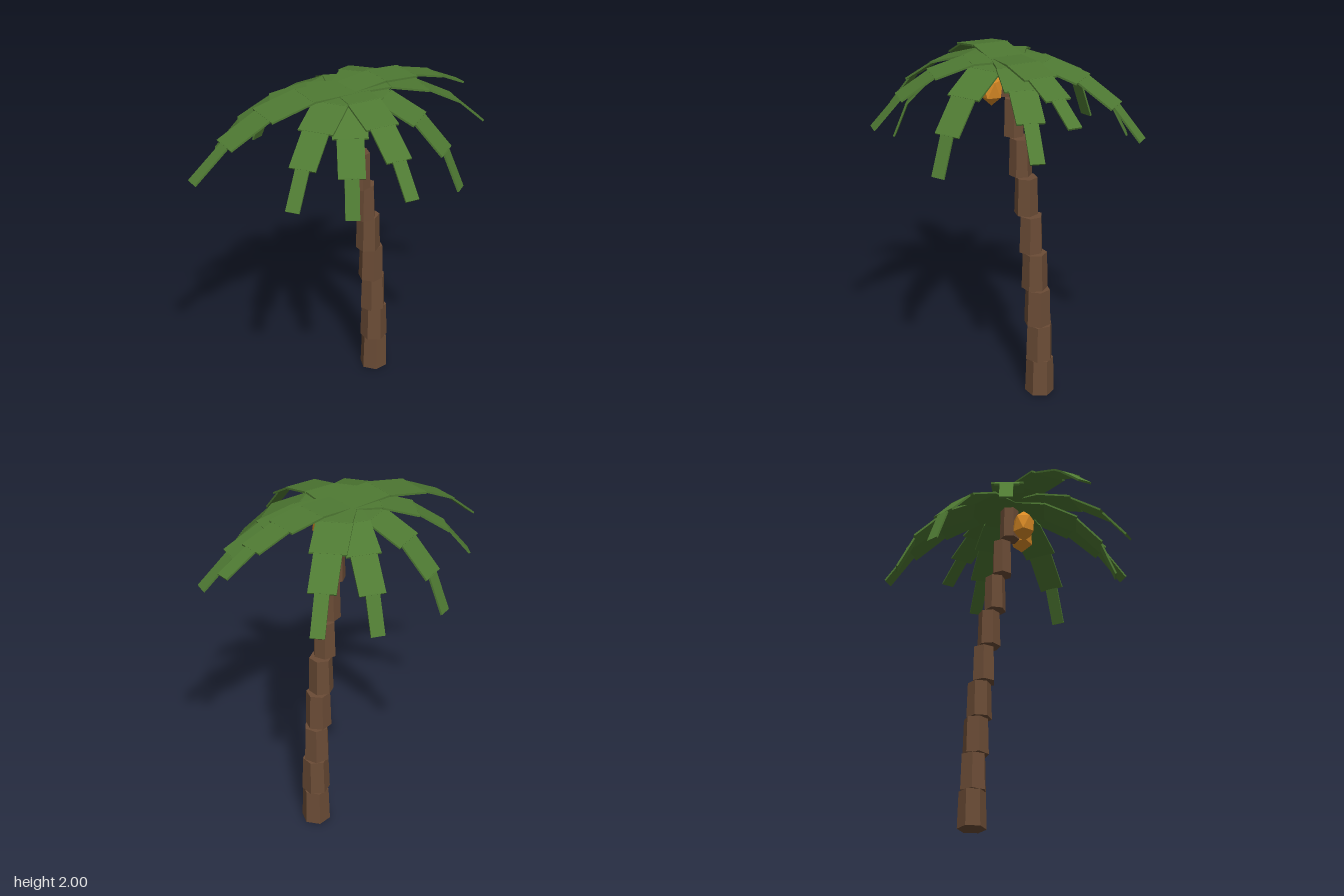
import * as THREE from 'three';

const mat = (color) => new THREE.MeshStandardMaterial({ color, flatShading: true });

export function createModel() {
  const model = new THREE.Group();
  const bark = mat(0x6b4c36), leaf = mat(0x4f7a33), fruitSkin = mat(0xd98a25);

  // Trunk: stacked, slightly tapered hexagonal segments that curve towards the crown
  const trunk = new THREE.Group();
  trunk.name = 'trunk';
  const count = 9, step = 0.22;
  for (let i = 0; i < count; i++) {
    const t = i / (count - 1);
    const r = 0.085 - 0.0032 * i;
    const h = i === count - 1 ? 0.2 : step;
    const seg = new THREE.Mesh(new THREE.CylinderGeometry(r * 0.92, r, h, 6), bark);
    seg.name = 'trunkSegment';
    seg.position.set(0.255 - 0.22 * t ** 1.95, i * step + h / 2, -0.19 + 0.192 * t ** 1.8);
    seg.rotation.y = i * 0.37;
    trunk.add(seg);
  }
  model.add(trunk);

  // Fronds: four thin plates each; steeper fronds bend more from plate to plate
  const crown = new THREE.Vector3(0.035, 1.973, 0);
  const widths = [0.195, 0.205, 0.155, 0.078];
  const thick = 0.011;
  const tips = [
    [0.04, 1.53, -0.67], [0.38, 1.61, -0.72], [0.77, 1.82, -0.33], [0.85, 1.66, -0.14],
    [0.6, 1.49, 0.37], [0.24, 1.64, 0.73], [-0.05, 1.5, 0.63], [-0.37, 1.59, 0.65],
    [-0.85, 1.64, 0.325], [-0.68, 1.62, -0.09], [-0.4, 1.49, -0.48],
  ];
  for (const [x, y, z] of tips) {
    const dx = x - crown.x, dz = z - crown.z;
    const reach = Math.hypot(dx, dz), drop = crown.y - y;
    const mean = Math.atan2(drop, reach);
    const bend = 0.1 + 0.42 * mean;
    const len = Math.hypot(reach, drop) / (2 * (Math.cos(bend / 2) + Math.cos(bend * 1.5)));
    const frond = new THREE.Group();
    frond.name = 'frond';
    frond.position.copy(crown);
    frond.rotation.y = Math.atan2(dx, dz);
    let py = 0, pz = 0;
    widths.forEach((w, i) => {
      const pitch = mean + bend * (i - 1.5);
      const c = Math.cos(pitch) * len, s = Math.sin(pitch) * len;
      const width = i === 3 ? w : w * (0.4 + 0.6 * len / 0.24);
      const plate = new THREE.Mesh(new THREE.BoxGeometry(width, thick, len * 1.03), leaf);
      plate.name = 'frondPlate';
      plate.position.set(0, py - s / 2, pz + c / 2);
      plate.rotation.x = pitch;
      frond.add(plate);
      py -= s;
      pz += c;
    });
    model.add(frond);
  }

  // Fruit hanging under the crown: icosahedra stood on a corner and stretched upwards
  const fruitShape = new THREE.IcosahedronGeometry(0.071, 0);
  fruitShape.rotateZ(-Math.atan(2 / (1 + Math.sqrt(5))));
  fruitShape.scale(1, 1.45, 1);
  for (const [x, y, z, turn] of [[0.11, 1.822, 0.085, 0.3], [-0.045, 1.815, 0.08, 1.1]]) {
    const fruit = new THREE.Mesh(fruitShape, fruitSkin);
    fruit.name = 'fruit';
    fruit.position.set(x, y, z);
    fruit.rotation.y = turn;
    model.add(fruit);
  }
  return model;
}
